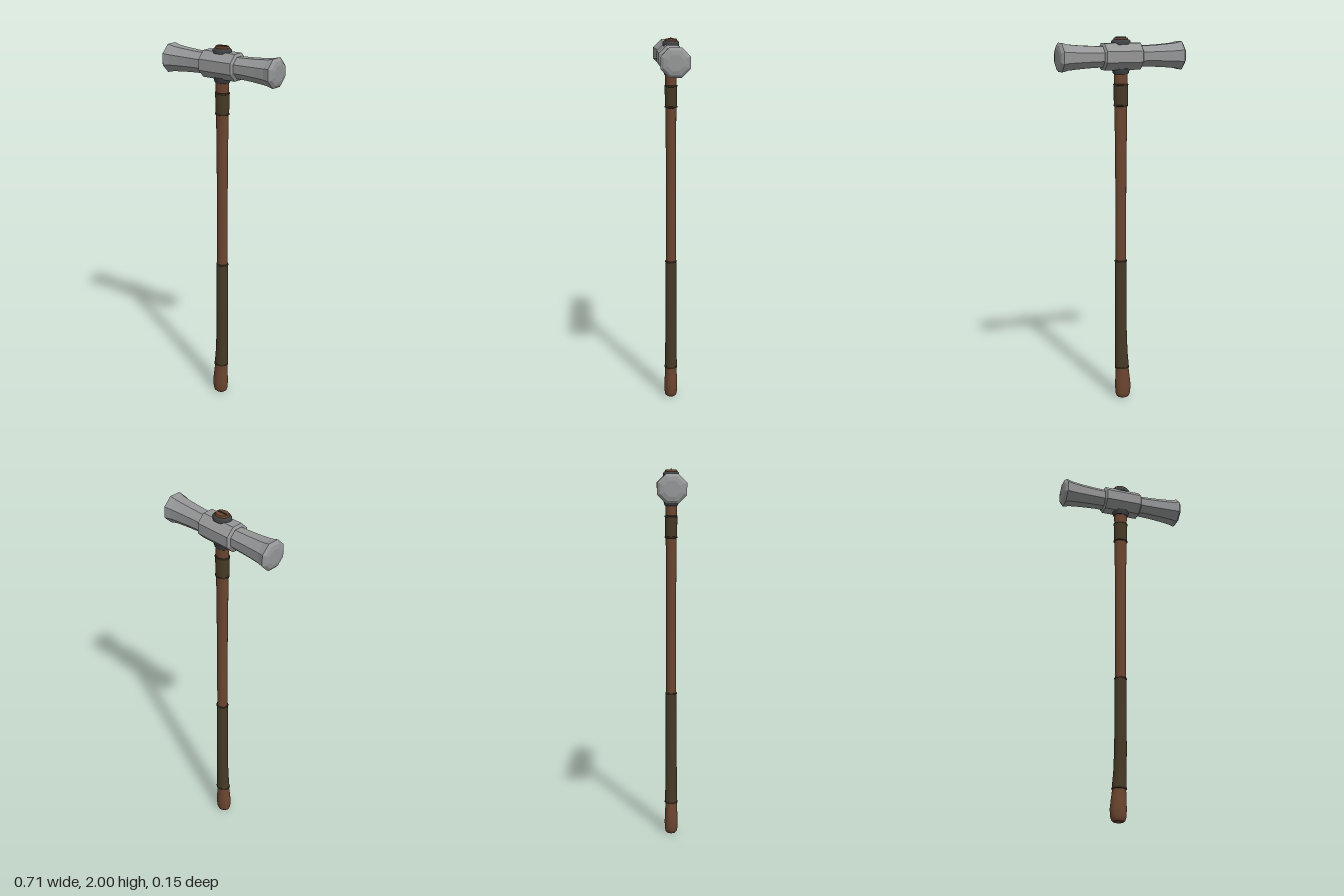
import * as THREE from 'three';

const mat = (name, color) => {
  const m = new THREE.MeshStandardMaterial({ color });
  m.name = name;
  return m;
};

// handle spine: [y, centre x, half width x, half width z]
const SPINE = [
  [0.005, -0.012, 0.028, 0.024], [0.012, -0.012, 0.036, 0.031], [0.03, -0.012, 0.042, 0.035],
  [0.07, -0.012, 0.0445, 0.036], [0.12, -0.01, 0.041, 0.034], [0.18, -0.007, 0.036, 0.031],
  [0.27, -0.003, 0.032, 0.029], [0.4, 0, 0.03, 0.028], [0.8, 0, 0.029, 0.027],
  [1.2, 0, 0.03, 0.027], [1.5, 0, 0.033, 0.028], [1.64, 0, 0.035, 0.029],
  [1.82, 0, 0.037, 0.031], [2.0, 0, 0.037, 0.031],
];

function spineAt(y, pad = 0) {
  let i = 0;
  while (i < SPINE.length - 2 && y > SPINE[i + 1][0]) i++;
  const a = SPINE[i], b = SPINE[i + 1];
  const t = THREE.MathUtils.clamp((y - a[0]) / (b[0] - a[0]), 0, 1);
  const [, cx, rx, rz] = a.map((v, k) => v + (b[k] - v) * t);
  return [y, cx, rx + pad, rz + pad];
}

// closed loft through elliptical rows, with flat caps
function loft(rows, seg = 24) {
  const pos = [], idx = [];
  const ring = ([y, cx, rx, rz]) => {
    const start = pos.length / 3;
    for (let j = 0; j < seg; j++) {
      const a = (j / seg) * Math.PI * 2;
      pos.push(cx + rx * Math.cos(a), y, rz * Math.sin(a));
    }
    return start;
  };
  const starts = rows.map(ring);
  for (let i = 0; i < rows.length - 1; i++) {
    for (let j = 0; j < seg; j++) {
      const k = (j + 1) % seg, a = starts[i], b = starts[i + 1];
      idx.push(a + j, b + j, b + k, a + j, b + k, a + k);
    }
  }
  for (const top of [false, true]) {
    const row = rows[top ? rows.length - 1 : 0];
    const s = ring(row), c = pos.length / 3;
    pos.push(row[1], row[0], 0);
    for (let j = 0; j < seg; j++) {
      const k = (j + 1) % seg;
      if (top) idx.push(c, s + k, s + j);
      else idx.push(c, s + j, s + k);
    }
  }
  const g = new THREE.BufferGeometry();
  g.setAttribute('position', new THREE.Float32BufferAttribute(pos, 3));
  g.setIndex(idx);
  g.computeVertexNormals();
  return g;
}

// rows along the spine between two heights
function spineRows(y0, y1, pad) {
  const ys = [y0, ...SPINE.map((r) => r[0]).filter((y) => y > y0 && y < y1), y1];
  return ys.map((y) => spineAt(y, pad));
}

// faceted eight-sided solid along x, points given as [x, apothem]
function octagonal(points) {
  const k = 1 / Math.cos(Math.PI / 8);
  const g = new THREE.LatheGeometry(points.map(([x, r]) => new THREE.Vector2(r * k, x)), 8, Math.PI / 8);
  g.rotateZ(-Math.PI / 2);
  const flat = g.toNonIndexed();
  flat.computeVertexNormals();
  return flat;
}

export function createModel() {
  const steel = mat('steel', 0x959697);
  const darkSteel = mat('dark steel', 0x414244);
  const wood = mat('wood', 0x6b452f);
  const leather = mat('leather wrap', 0x473a26);
  const cord = mat('dark cord', 0x2c2619);

  const model = new THREE.Group();
  model.name = 'sledgehammer';
  const add = (name, geo, material, parent = model) => {
    const m = new THREE.Mesh(geo, material);
    m.name = name;
    parent.add(m);
    return m;
  };

  // shaft, running through the head
  add('handle', loft(spineRows(0.005, 1.975, 0)), wood);

  // leather wraps and their binding cords
  add('gripWrap', loft(spineRows(0.18, 0.79, 0.003)), leather);
  add('neckWrap', loft(spineRows(1.64, 1.75, 0.003)), leather);
  for (const y of [0.18, 0.79, 1.64, 1.75]) {
    const rows = [[-0.005, 0.001], [-0.003, 0.005], [0.003, 0.005], [0.005, 0.001]];
    add('bindingCord', loft(rows.map(([dy, pad]) => spineAt(y + dy, pad))), cord);
  }

  // head
  const head = new THREE.Group();
  head.name = 'head';
  head.position.y = 1.898;
  model.add(head);
  add('headBlock', octagonal([
    [-0.109, 0], [-0.109, 0.058], [-0.101, 0.07], [0.101, 0.07], [0.109, 0.058], [0.109, 0],
  ]), steel, head);
  for (const side of [1, -1]) {
    const arm = add('strikingArm', octagonal([
      [0.1, 0.0545], [0.15, 0.0555], [0.2, 0.058], [0.25, 0.0615], [0.302, 0.0665],
      [0.337, 0.075], [0.349, 0.061], [0.354, 0.04], [0.354, 0],
    ]), steel, head);
    if (side < 0) arm.rotation.y = Math.PI;
  }

  // collars above and below the eye
  add('lowerCollar', loft([
    [1.806, 0, 0.039, 0.033], [1.81, 0, 0.043, 0.036], [1.822, 0, 0.046, 0.039], [1.835, 0, 0.05, 0.042],
  ]), darkSteel);
  add('upperCollar', loft([
    [1.96, 0, 0.053, 0.043], [1.976, 0, 0.053, 0.043], [1.984, 0, 0.047, 0.038], [1.986, 0, 0.041, 0.034],
  ]), darkSteel);

  // exposed handle end with its wedge
  add('handleEnd', loft([
    [1.97, 0, 0.04, 0.033], [1.99, 0, 0.04, 0.033], [1.996, 0, 0.036, 0.029],
  ]), wood);
  const wedge = add('wedge', new THREE.BoxGeometry(0.056, 0.01, 0.006), darkSteel);
  wedge.position.y = 1.995;

  return model;
}
